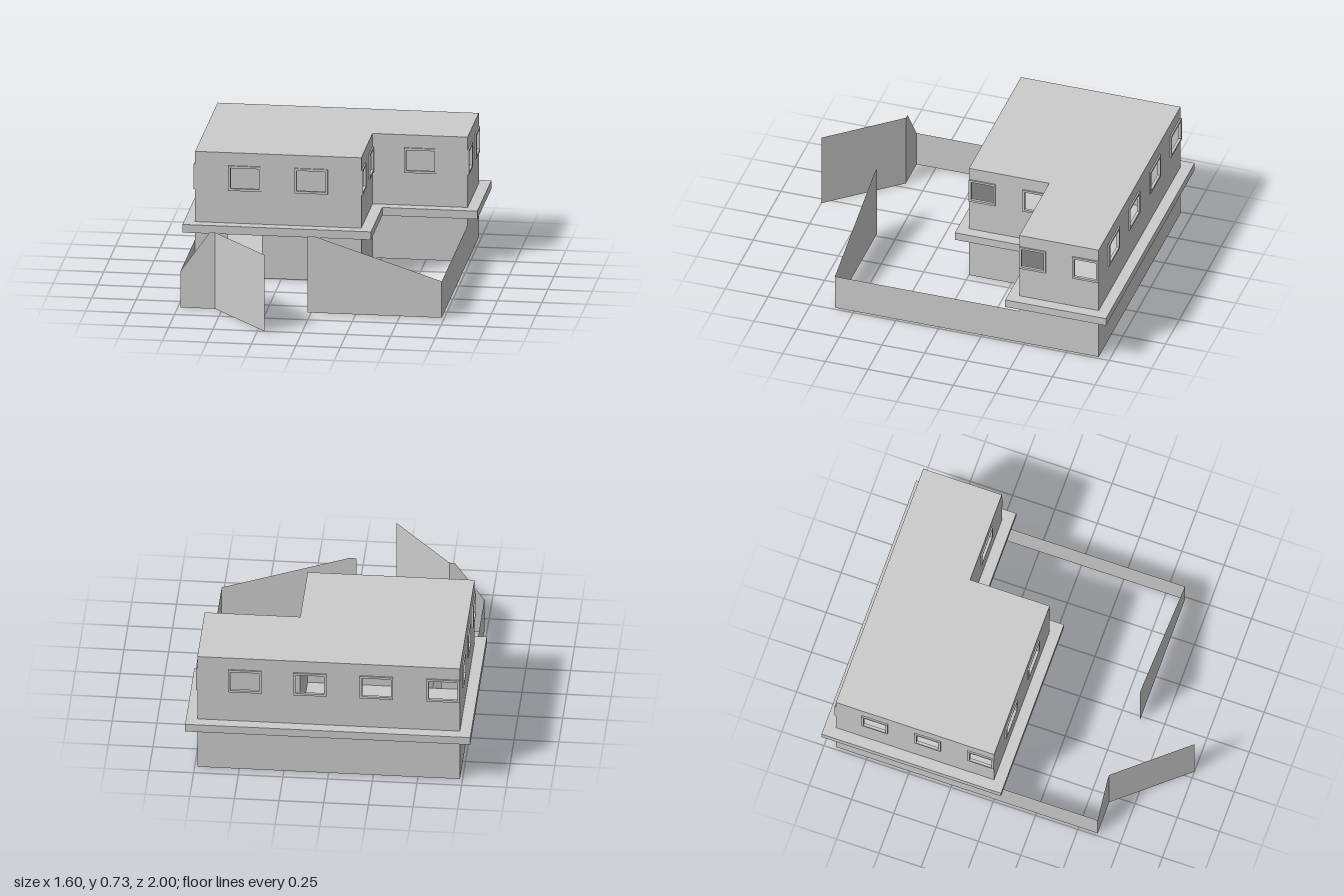
import * as THREE from 'three';

const material = new THREE.MeshStandardMaterial({ color: 0xcccccc, side: THREE.DoubleSide, flatShading: true });
const HEIGHT = 0.725;
const FRONT_WIN = 0.187, SIDE_WIN = 0.155; // window frame widths
const WIN_Y0 = 0.505, WIN_Y1 = 0.65, RIM = 0.013;

const polygon = (points, Type = THREE.Shape) => new Type(points.map(([x, y]) => new THREE.Vector2(x, y)));
const rect = (x0, y0, x1, y1) => [[x0, y0], [x1, y0], [x1, y1], [x0, y1]];

function addMesh(parent, name, geometry) {
  const mesh = new THREE.Mesh(geometry, material);
  mesh.name = name;
  parent.add(mesh);
  return mesh;
}

// Upright panel running from a to b in plan; local +z faces outward
function panelGroup(parent, name, [x0, z0], [x1, z1]) {
  const group = new THREE.Group();
  group.name = name;
  group.position.set(x0, 0, z0);
  group.rotation.y = Math.atan2(z0 - z1, x1 - x0);
  parent.add(group);
  return group;
}

// Thin house wall with window openings, frames and an optional doorway
function addWall(parent, name, a, b, windowWidth, centres, door) {
  const group = panelGroup(parent, name, a, b);
  const length = Math.hypot(b[0] - a[0], b[1] - a[1]);
  const doorway = door ? [[door.x0, 0], [door.x0, door.top], [door.x1, door.top], [door.x1, 0]] : [];
  const outline = polygon([[0, 0], ...doorway, [length, 0], [length, HEIGHT], [0, HEIGHT]]);
  for (const c of centres) {
    const x0 = c - windowWidth / 2, x1 = c + windowWidth / 2;
    const opening = rect(x0 + RIM, WIN_Y0 + RIM, x1 - RIM, WIN_Y1 - RIM);
    outline.holes.push(polygon(opening, THREE.Path));
    const frame = polygon(rect(x0, WIN_Y0, x1, WIN_Y1));
    frame.holes.push(polygon(opening, THREE.Path));
    const geometry = new THREE.ExtrudeGeometry(frame, { depth: 0.016, bevelEnabled: false });
    addMesh(group, 'windowFrame', geometry.translate(0, 0, -0.008));
  }
  addMesh(group, 'wallPanel', new THREE.ShapeGeometry(outline));
}

// L-shaped plan grown outward by o, as (x, z) corners
const plan = (o) => [
  [-0.735 - o, o], [0.2 + o, o], [0.2 + o, -0.47 + o],
  [0.735 + o, -0.47 + o], [0.735 + o, -0.935 - o], [-0.735 - o, -0.935 - o],
];
const flip = (points) => points.map(([x, z]) => [x, -z]);

export function createModel() {
  const model = new THREE.Group();
  model.name = 'house';

  // House shell, walked around the plan
  const corners = plan(0);
  const walls = [
    ['frontWall', FRONT_WIN, [0.28, 0.653], { x0: 0.185, x1: 0.375, top: 0.27 }],
    ['innerSideWall', SIDE_WIN, [0.078, 0.392]],
    ['wingFrontWall', FRONT_WIN, [0.27]],
    ['wingSideWall', SIDE_WIN, [0.078, 0.387]],
    ['backWall', FRONT_WIN, [0.265, 0.63, 1.003, 1.376]],
    ['sideWall', SIDE_WIN, [0.23, 0.543, 0.857]],
  ];
  walls.forEach(([name, width, centres, door], i) =>
    addWall(model, name, corners[i], corners[(i + 1) % 6], width, centres, door));

  // Flat roof and ground floor
  for (const [name, y] of [['roof', HEIGHT], ['floor', 0]]) {
    const geometry = new THREE.ShapeGeometry(polygon(flip(corners)));
    addMesh(model, name, geometry.rotateX(-Math.PI / 2)).position.y = y;
  }

  // Ledge between the storeys
  const ledge = polygon(flip(plan(0.063)));
  ledge.holes.push(polygon(flip(corners), THREE.Path));
  const ledgeGeometry = new THREE.ExtrudeGeometry(ledge, { depth: 0.047, bevelEnabled: false });
  addMesh(model, 'ledge', ledgeGeometry.rotateX(-Math.PI / 2)).position.y = 0.268;

  // Thin yard walls, with sloping front pieces and an open gate
  const addPanel = (name, a, b, points) =>
    addMesh(panelGroup(model, name, a, b), 'panel', new THREE.ShapeGeometry(polygon(points)));
  const low = 0.212, high = 0.445, z = 0.612;
  addPanel('leftYardWall', [0.735, z], [0.735, -0.47], rect(0, 0, z + 0.47, low));
  addPanel('rightYardWall', [-0.735, 0], [-0.735, z], rect(0, 0, z, low));
  addPanel('longFrontYardWall', [-0.02, z], [0.735, z],
    [[0, 0], [0.755, 0], [0.755, low], [0.04, high], [0, high]]);
  addPanel('shortFrontYardWall', [-0.735, z], [-0.54, z],
    [[0, 0], [0.195, 0], [0.195, high], [0.165, high], [0, low]]);
  addPanel('gate', [-0.54, z], [-0.21, 1], rect(0, 0, Math.hypot(0.33, 1 - z), high));

  return model;
}
